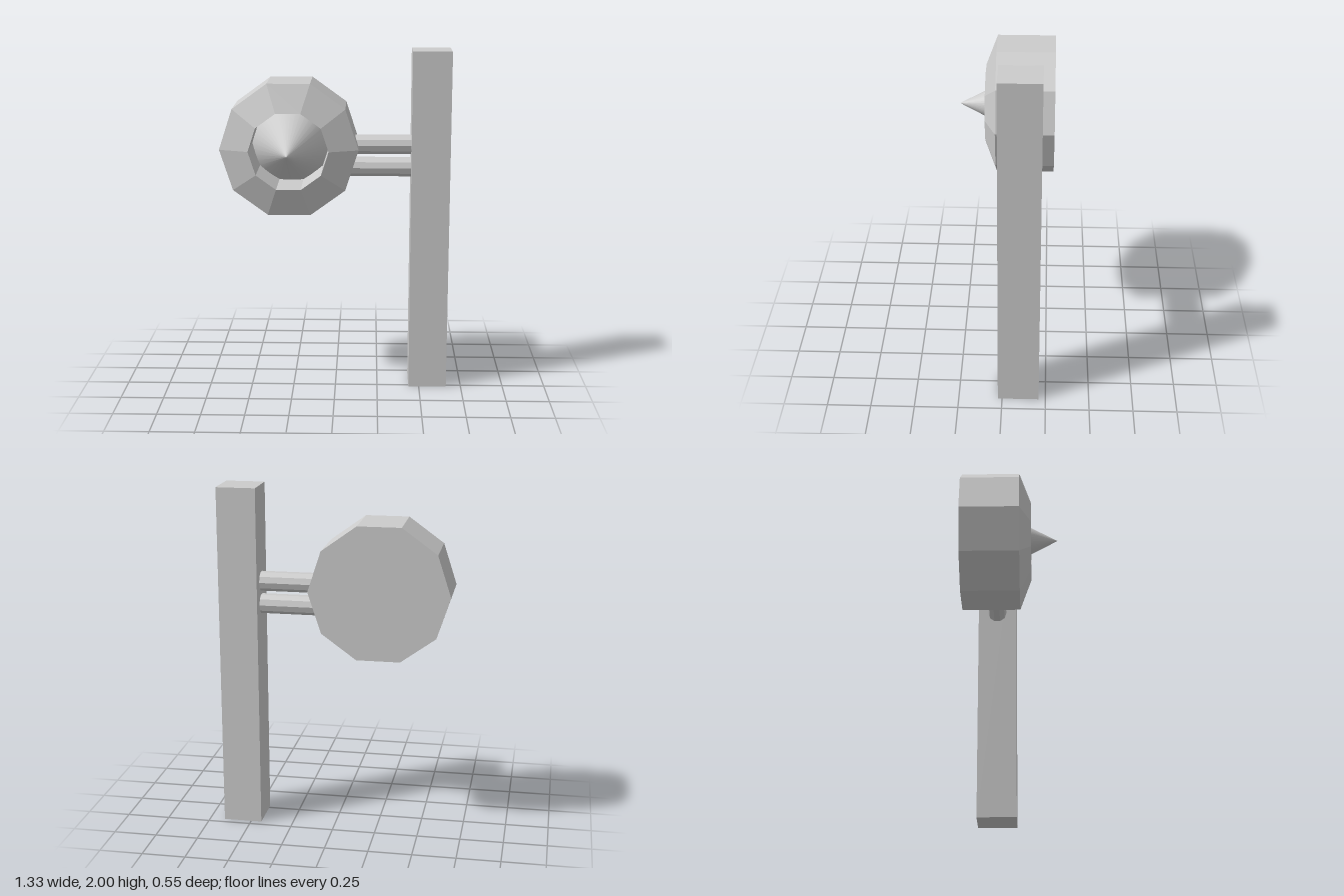
import * as THREE from 'three';

export function createModel() {
  const model = new THREE.Group();
  const flat = new THREE.MeshStandardMaterial({ color: 0xcccccc, flatShading: true });
  const smooth = new THREE.MeshStandardMaterial({ color: 0xcccccc });

  const add = (name, geometry, material, x, y, z) => {
    const mesh = new THREE.Mesh(geometry, material);
    mesh.name = name;
    mesh.position.set(x, y, z);
    model.add(mesh);
  };

  // Upright square post
  add('post', new THREE.BoxGeometry(0.224, 2, 0.235), flat, 0.55, 1, -0.093);

  // Two ten-sided arms joining the post to the housing
  const armLength = 0.5;
  for (const [name, y] of [['upperArm', 1.45], ['lowerArm', 1.318]]) {
    const arm = new THREE.CylinderGeometry(0.057, 0.057, armLength, 10).rotateZ(Math.PI / 2);
    add(name, arm, flat, 0.46 - armLength / 2, y, -0.095);
  }

  // Ten-sided housing: flat back, straight side, bevelled front and a deep socket
  const profile = [
    [0, -0.277], [0.4, -0.277], [0.4, 0.057], [0.23, 0.122], [0.23, -0.2], [0, -0.2],
  ].map(([r, z]) => new THREE.Vector2(r, z));
  const housing = new THREE.LatheGeometry(profile, 10, Math.PI / 2).rotateX(Math.PI / 2);
  add('housing', housing, flat, -0.266, 1.44, 0);

  // Smooth pointed cone rising out of the socket
  const coneHeight = 0.476;
  const cone = new THREE.ConeGeometry(0.236, coneHeight, 40).rotateX(Math.PI / 2);
  add('cone', cone, smooth, -0.266, 1.44, 0.276 - coneHeight / 2);

  return model;
}
